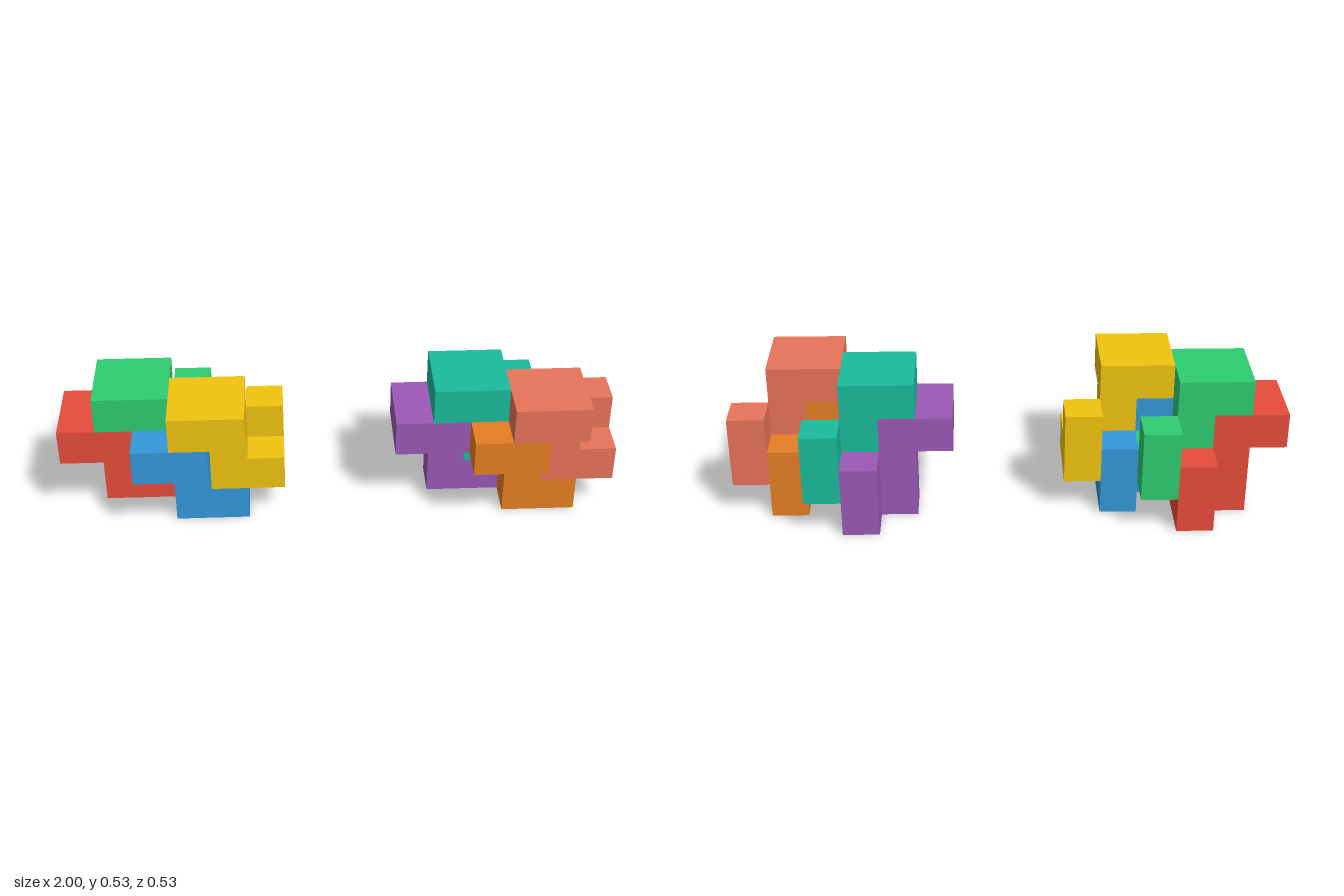
import * as THREE from 'three';
import { mergeGeometries } from 'three/addons/utils/BufferGeometryUtils.js';

const U = 2 / 15; // edge of one cube cell

// Cells of one interlocking piece: 2x2 slab, column under its corner, hooked foot
const CELLS = [
  [0, 2, 0], [1, 2, 0], [0, 2, 1], [1, 2, 1], // slab
  [1, 1, 0], [1, 0, 0],                       // column
  [2, 0, 0], [2, 0, -1], [2, 1, -1],          // hook
];

const DIRS = [[1, 0, 0], [-1, 0, 0], [0, 1, 0], [0, -1, 0], [0, 0, 1], [0, 0, -1]]
  .map((d) => new THREE.Vector3(...d));

// Outer skin of the piece: one square for each cell side without a neighbour
function pieceGeometry() {
  const filled = new Set(CELLS.map((c) => c.join()));
  const forward = new THREE.Vector3(0, 0, 1);
  const faces = [];
  for (const c of CELLS) {
    const cell = new THREE.Vector3(...c);
    for (const d of DIRS) {
      if (filled.has(cell.clone().add(d).toArray().join())) continue;
      const centre = cell.clone().addScalar(0.5).addScaledVector(d, 0.5).multiplyScalar(U);
      const face = new THREE.PlaneGeometry(U, U);
      face.applyQuaternion(new THREE.Quaternion().setFromUnitVectors(forward, d));
      face.translate(centre.x, centre.y, centre.z);
      faces.push(face);
    }
  }
  return mergeGeometries(faces);
}

// Cell offsets of the four identical pieces within a cluster
const PIECES = [
  ['backLowerPiece', [0, 0, -1]],
  ['backUpperPiece', [1, 1, -1]],
  ['frontLowerPiece', [2, 0, 0]],
  ['frontUpperPiece', [3, 1, 0]],
];

export function createModel() {
  const model = new THREE.Group();
  model.name = 'interlockingBlocks';
  const geometry = pieceGeometry();

  const clusters = [
    ['rightCluster', -1, [0xe74c3c, 0x2ecc71, 0xf1c40f, 0x3498db]],
    ['leftCluster', 0.2, [0x9b59b6, 0x1abc9c, 0xe8735a, 0xe67e22]],
  ];
  for (const [name, x, [backLower, backUpper, frontUpper, frontLower]] of clusters) {
    const cluster = new THREE.Group();
    cluster.name = name;
    cluster.position.x = x;
    const colors = [backLower, backUpper, frontLower, frontUpper];
    PIECES.forEach(([pieceName, offset], i) => {
      const piece = new THREE.Mesh(geometry, new THREE.MeshStandardMaterial({ color: colors[i] }));
      piece.name = pieceName;
      piece.position.set(...offset).multiplyScalar(U);
      cluster.add(piece);
    });
    model.add(cluster);
  }
  return model;
}
